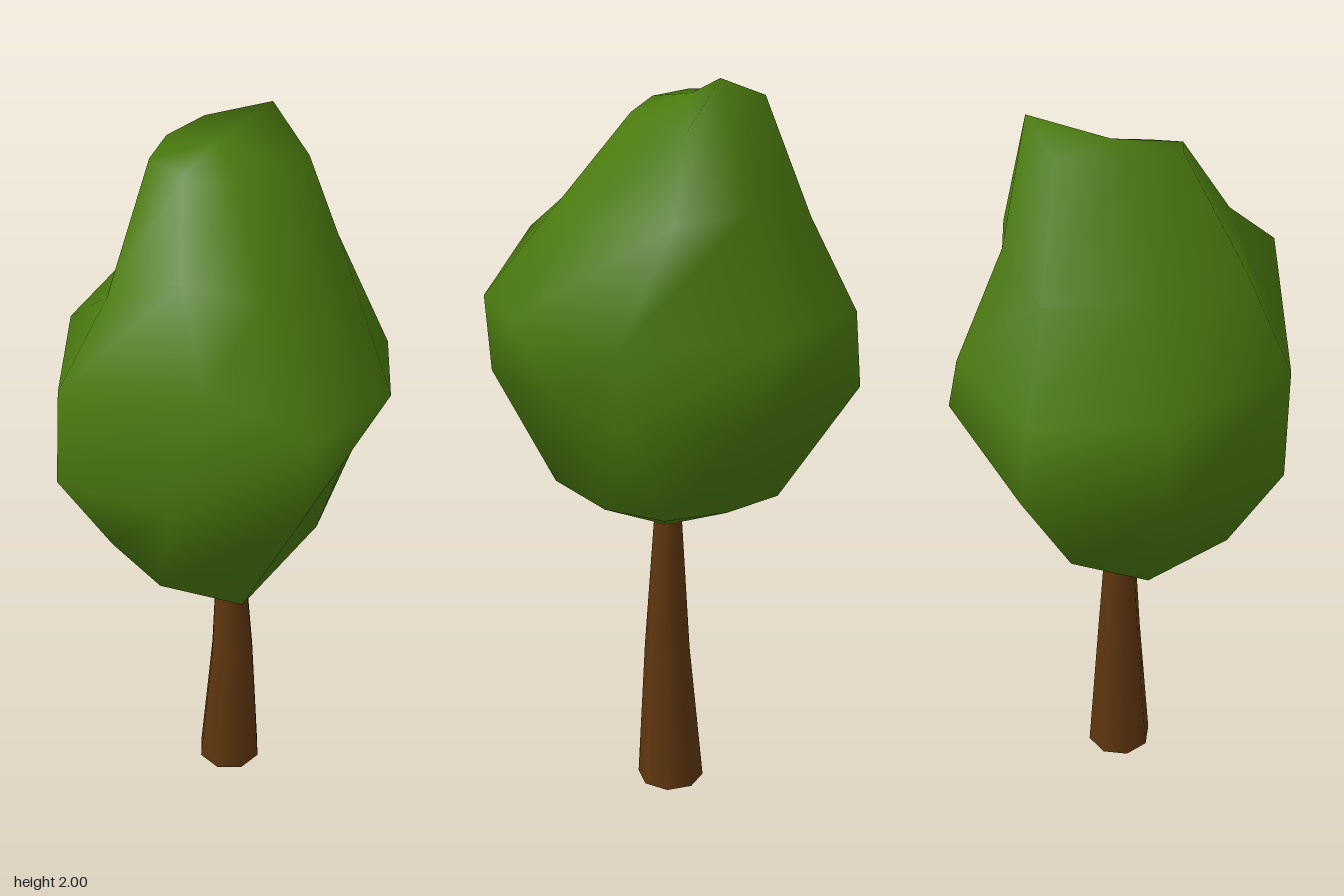
import * as THREE from 'three';

// Skin a stack of rings (each a loop of [x, y, z], running from +x to +z), closed by two tips
function skin(rings, bottom, top) {
  const n = rings[0].length;
  const points = [...rings.flat(), bottom, top];
  const low = rings.length * n, high = low + 1;
  const last = (rings.length - 1) * n;
  const index = [];
  for (let i = 0; i < n; i++) {
    const j = (i + 1) % n;
    index.push(low, i, j, high, last + j, last + i);
    for (let r = 0; r < rings.length - 1; r++) {
      const a = r * n + i, b = r * n + j;
      index.push(a, a + n, b, b, a + n, b + n);
    }
  }
  const geometry = new THREE.BufferGeometry();
  geometry.setAttribute('position', new THREE.Float32BufferAttribute(points.flat(), 3));
  geometry.setIndex(index);
  geometry.computeVertexNormals();
  return geometry;
}

export function createModel() {
  const leafGreen = new THREE.MeshStandardMaterial({ color: 0x4b7a0f });
  leafGreen.name = 'leaf green';
  const barkBrown = new THREE.MeshStandardMaterial({ color: 0x60370f });
  barkBrown.name = 'bark brown';
  const tree = new THREE.Group();
  tree.name = 'tree';

  // Crown: five uneven eight-sided rings, smooth shaded
  const crownRings = [
    [[0.25, 0.91, -0.04], [0.17, 0.87, 0.3], [-0.06, 0.865, 0.305], [-0.24, 0.89, 0.22],
      [-0.32, 0.865, -0.02], [-0.22, 0.88, -0.2], [0, 0.9, -0.24], [0.18, 0.91, -0.2]],
    [[0.34, 1.2, 0.02], [0.34, 1.22, 0.34], [0.03, 1.2, 0.425], [-0.33, 1.14, 0.33],
      [-0.455, 1.18, 0], [-0.365, 1.2, -0.35], [0.12, 1.2, -0.445], [0.33, 1.2, -0.22]],
    [[0.455, 1.43, 0.065], [0.36, 1.43, 0.33], [0.13, 1.57, 0.445], [-0.3, 1.42, 0.34],
      [-0.455, 1.42, -0.02], [-0.36, 1.4, -0.33], [0, 1.4, -0.43], [0.355, 1.4, -0.245]],
    [[0.25, 1.65, 0.05], [0.18, 1.68, 0.22], [0, 1.73, 0.27], [-0.2, 1.65, 0.25],
      [-0.27, 1.63, 0], [-0.25, 1.65, -0.26], [0, 1.69, -0.3], [0.2, 1.67, -0.26]],
    [[0.11, 1.9, -0.07], [0.06, 1.9, 0.08], [-0.05, 1.93, 0.13], [-0.15, 1.945, 0.1],
      [-0.17, 1.95, -0.04], [-0.14, 1.95, -0.2], [0.03, 2, -0.225], [0.13, 1.88, -0.22]],
  ];
  const crown = new THREE.Mesh(skin(crownRings, [0.01, 0.79, 0], [-0.04, 1.95, -0.04]), leafGreen);
  crown.name = 'crown';
  tree.add(crown);

  // Trunk: tapered, slightly leaning eight-sided column; [y, radius, centre x, centre z]
  const trunkSections = [[0, 0.095, 0.006, -0.013], [0.42, 0.064, 0.016, -0.01], [0.85, 0.036, 0.01, -0.007]];
  const sides = 8;
  const trunkGeometry = new THREE.CylinderGeometry(1, 1, 1, sides, 2, true);
  const position = trunkGeometry.attributes.position;
  for (let i = 0; i < position.count; i++) {
    const [y, r, cx, cz] = trunkSections[Math.round((position.getY(i) + 0.5) * 2)];
    position.setXYZ(i, cx + position.getX(i) * r, y, cz + position.getZ(i) * r);
  }
  const trunk = new THREE.Mesh(trunkGeometry, barkBrown);
  trunk.name = 'trunk';
  tree.add(trunk);

  // Flat underside of the trunk
  const base = new THREE.Mesh(new THREE.CircleGeometry(0.095, sides), barkBrown);
  base.name = 'trunkBase';
  base.rotation.x = Math.PI / 2;
  base.position.set(0.006, 0, -0.013);
  tree.add(base);

  return tree;
}
